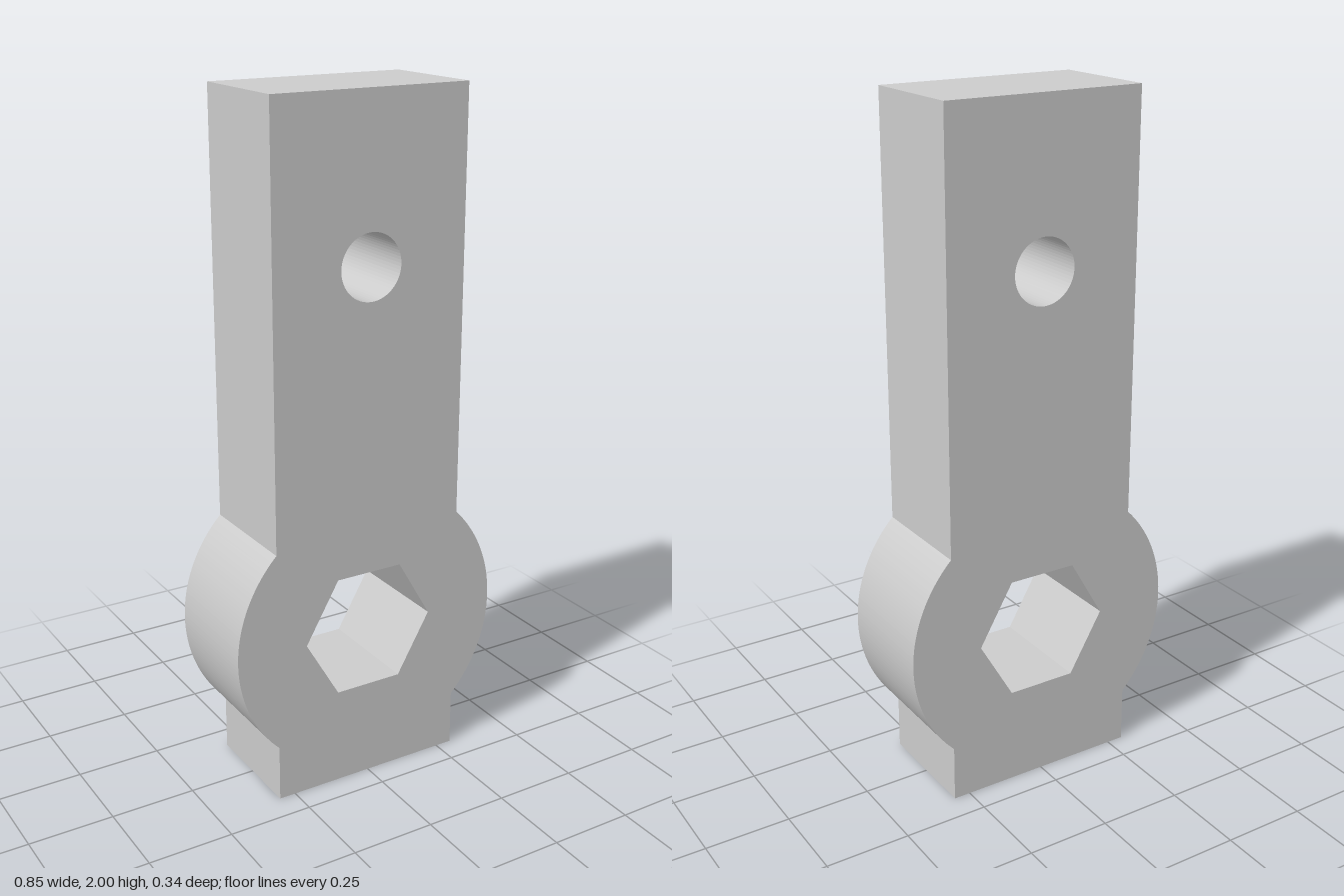
import * as THREE from 'three';

const HALF_WIDTH = 0.3, HEIGHT = 2, DEPTH = 0.338;
const BOSS_Y = 0.47, BOSS_R = 0.425;
const HEX_R = 0.207, HOLE_Y = 1.535, HOLE_R = 0.094;

export function createModel() {
  const group = new THREE.Group();
  group.name = 'hexLever';

  // Outline: straight bar with a round boss bulging out on both sides
  const a = Math.acos(HALF_WIDTH / BOSS_R);
  const outline = new THREE.Shape();
  outline.moveTo(-HALF_WIDTH, 0);
  outline.lineTo(HALF_WIDTH, 0);
  outline.absarc(0, BOSS_Y, BOSS_R, -a, a, false);
  outline.lineTo(HALF_WIDTH, HEIGHT);
  outline.lineTo(-HALF_WIDTH, HEIGHT);
  outline.absarc(0, BOSS_Y, BOSS_R, Math.PI - a, Math.PI + a, false);
  outline.closePath();

  // Hexagonal socket through the boss
  const hexPoints = [];
  for (let i = 0; i < 6; i++) {
    const t = -i * Math.PI / 3;
    hexPoints.push(new THREE.Vector2(HEX_R * Math.cos(t), BOSS_Y + HEX_R * Math.sin(t)));
  }
  outline.holes.push(new THREE.Path(hexPoints).closePath());

  // Round pin hole near the top
  outline.holes.push(new THREE.Path().absarc(0, HOLE_Y, HOLE_R, 0, Math.PI * 2, true));

  const geometry = new THREE.ExtrudeGeometry(outline, {
    depth: DEPTH, bevelEnabled: false, curveSegments: 32,
  });
  geometry.translate(0, 0, -DEPTH / 2);

  const lever = new THREE.Mesh(geometry, new THREE.MeshStandardMaterial({ color: 0xcccccc }));
  lever.name = 'leverBody';
  group.add(lever);
  return group;
}
